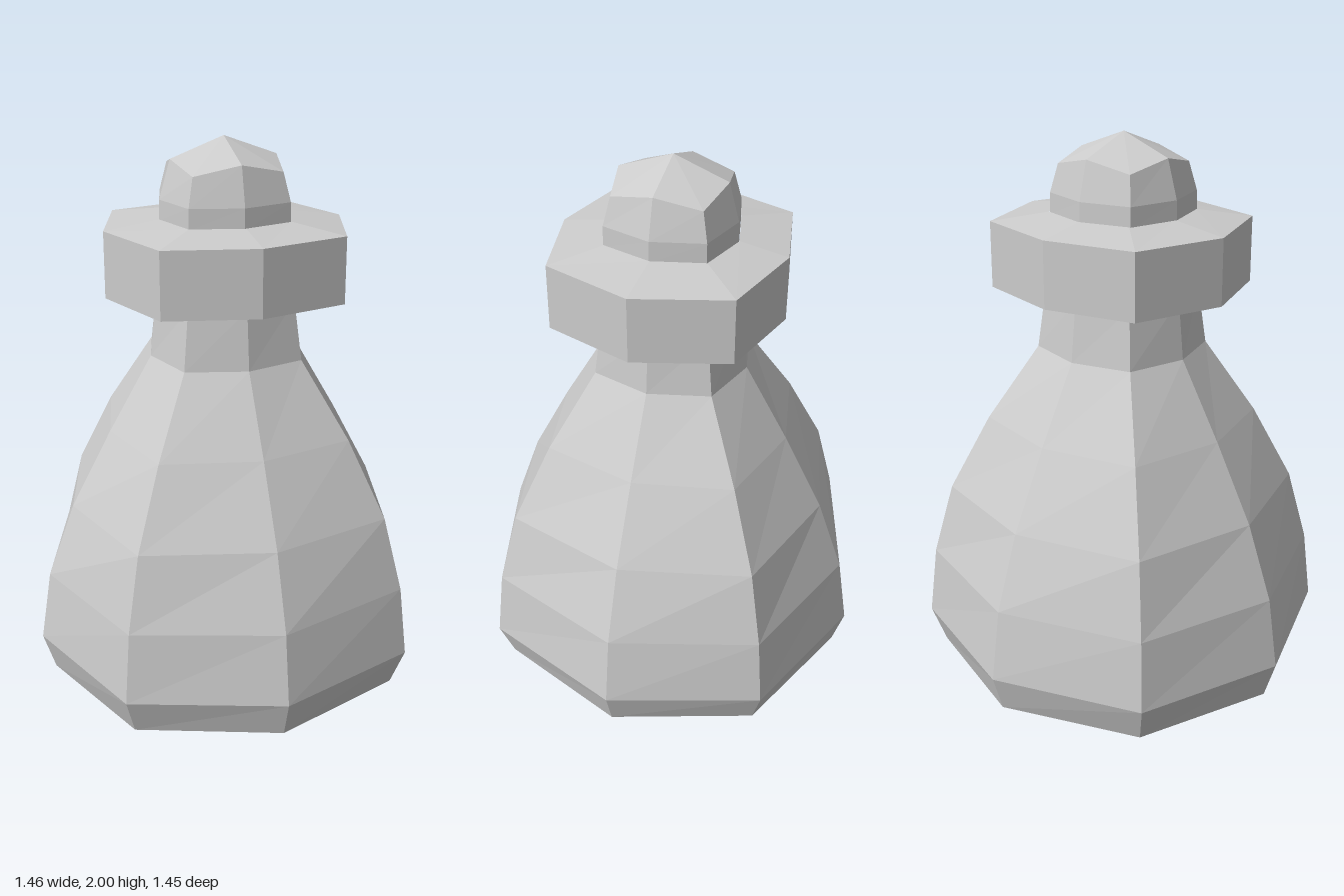
import * as THREE from 'three';

const material = new THREE.MeshStandardMaterial({ color: 0xcccccc, flatShading: true });

// Eight-sided ring: corners on the axes at rx / rz, diagonal corners at (d, d),
// the diagonals optionally lowered by drop.
function ringPoints([y, rx, rz, d, drop = 0]) {
  const points = [];
  for (let i = 0; i < 8; i++) {
    const a = (i * Math.PI) / 4;
    const c = Math.round(Math.cos(a)), s = Math.round(Math.sin(a));
    points.push(i % 2 ? [c * d, y - drop, s * d] : [c * rx, y, s * rz]);
  }
  return points;
}

// Skin the rings from bottom to top; a cap height closes that end with a fan.
function loft(name, rings, bottomY, topY) {
  const positions = rings.flatMap((r) => ringPoints(r).flat());
  const index = [];
  for (let r = 0; r < rings.length - 1; r++) {
    for (let i = 0; i < 8; i++) {
      const j = (i + 1) % 8;
      const a = r * 8 + i, b = r * 8 + j;
      index.push(a, a + 8, b, b, a + 8, b + 8);
    }
  }
  const fan = (y, start, up) => {
    const centre = positions.length / 3;
    positions.push(0, y, 0);
    for (let i = 0; i < 8; i++) {
      const a = start + i, b = start + ((i + 1) % 8);
      if (up) index.push(centre, b, a);
      else index.push(centre, a, b);
    }
  };
  if (bottomY !== undefined) fan(bottomY, 0, false);
  if (topY !== undefined) fan(topY, (rings.length - 1) * 8, true);

  let geometry = new THREE.BufferGeometry();
  geometry.setAttribute('position', new THREE.Float32BufferAttribute(positions, 3));
  geometry.setIndex(index);
  geometry = geometry.toNonIndexed();
  geometry.computeVertexNormals();
  const mesh = new THREE.Mesh(geometry, material);
  mesh.name = name;
  return mesh;
}

export function createModel() {
  const group = new THREE.Group();
  group.name = 'bottle';

  // Flared belly narrowing into the neck: [y, rx, rz, diagonal]
  group.add(loft('body', [
    [0, 0.685, 0.68, 0.497],
    [0.14, 0.73, 0.723, 0.535],
    [0.4, 0.69, 0.683, 0.513],
    [0.67, 0.59, 0.585, 0.46],
    [0.95, 0.44, 0.438, 0.353],
    [1.225, 0.28, 0.278, 0.218],
    [1.44, 0.258, 0.254, 0.196],
  ], 0));

  // Wide rim around the top of the neck
  group.add(loft('collar', [
    [1.437, 0.258, 0.254, 0.196],
    [1.453, 0.44, 0.41, 0.33],
    [1.692, 0.44, 0.41, 0.33],
    [1.722, 0.235, 0.235, 0.183],
  ]));

  // Faceted stopper, slightly off centre, with a shallow pointed top
  const stopper = loft('stopper', [
    [1.715, 0.237, 0.235, 0.184],
    [1.79, 0.235, 0.233, 0.183],
    [1.928, 0.195, 0.197, 0.162, 0.036],
  ], undefined, 2);
  stopper.position.set(-0.004, 0, 0.003);
  group.add(stopper);

  return group;
}
